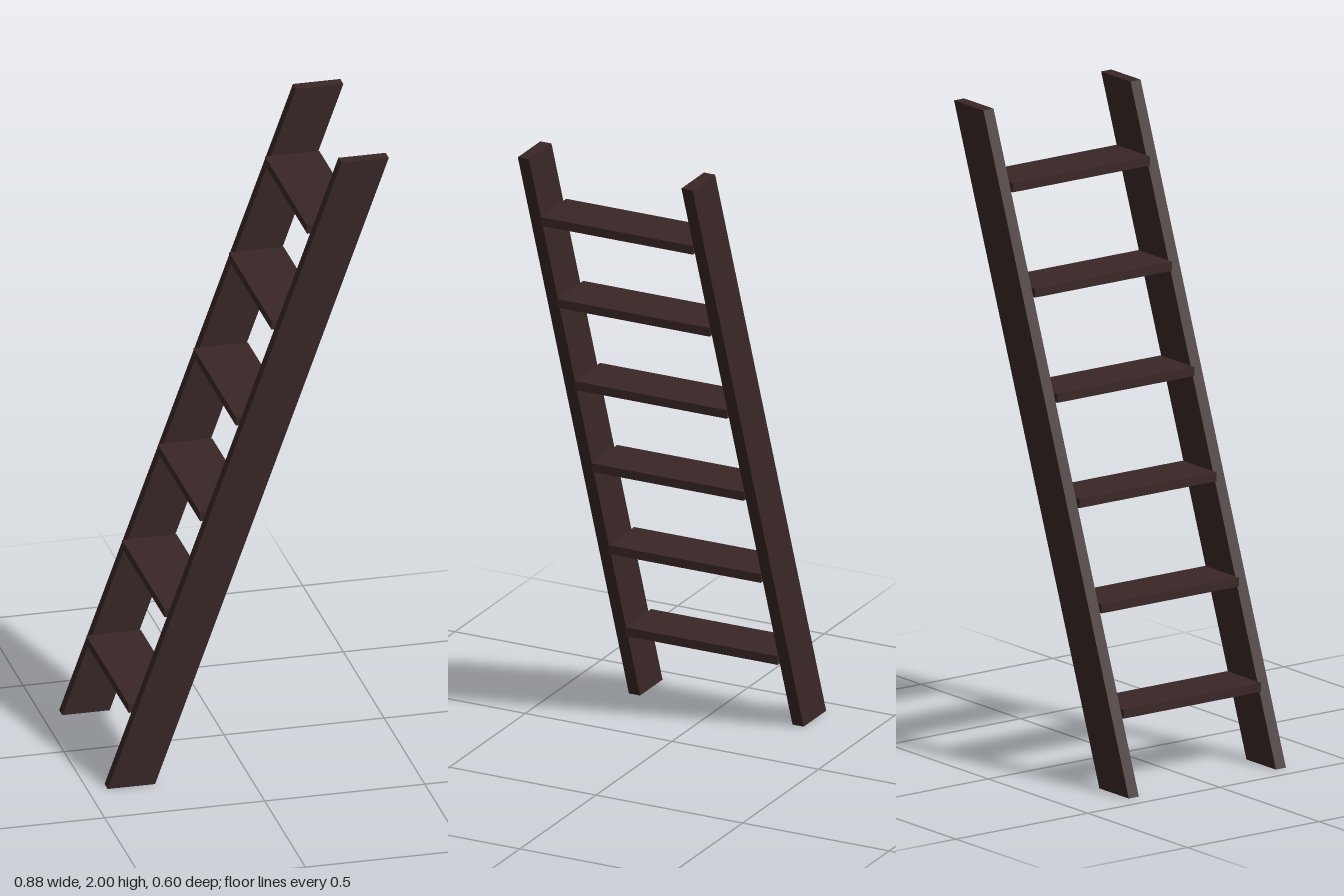
import * as THREE from 'three';

export function createModel() {
  const group = new THREE.Group();
  const darkWood = new THREE.MeshStandardMaterial({ color: 0x3a2727 });

  // Side rails: slanted boards with level ends
  const outline = new THREE.Shape([
    new THREE.Vector2(-0.439, 0),
    new THREE.Vector2(-0.291, 0),
    new THREE.Vector2(0.439, 2),
    new THREE.Vector2(0.291, 2),
  ]);
  const thickness = 0.038;
  const railGeometry = new THREE.ExtrudeGeometry(outline, { depth: thickness, bevelEnabled: false });
  railGeometry.translate(0, 0, -thickness / 2);
  for (const [name, side] of [['frontRail', 1], ['backRail', -1]]) {
    const rail = new THREE.Mesh(railGeometry, darkWood);
    rail.name = name;
    rail.position.z = side * 0.279;
    group.add(rail);
  }

  // Level treads, slightly deeper than the rails
  const treadGeometry = new THREE.BoxGeometry(0.17, 0.028, 0.52);
  for (let i = 0; i < 6; i++) {
    const tread = new THREE.Mesh(treadGeometry, darkWood);
    tread.name = `tread${i + 1}`;
    tread.position.set((i - 2.5) * 0.1115, 1.007 + (i - 2.5) * 0.306, 0);
    group.add(tread);
  }

  return group;
}
